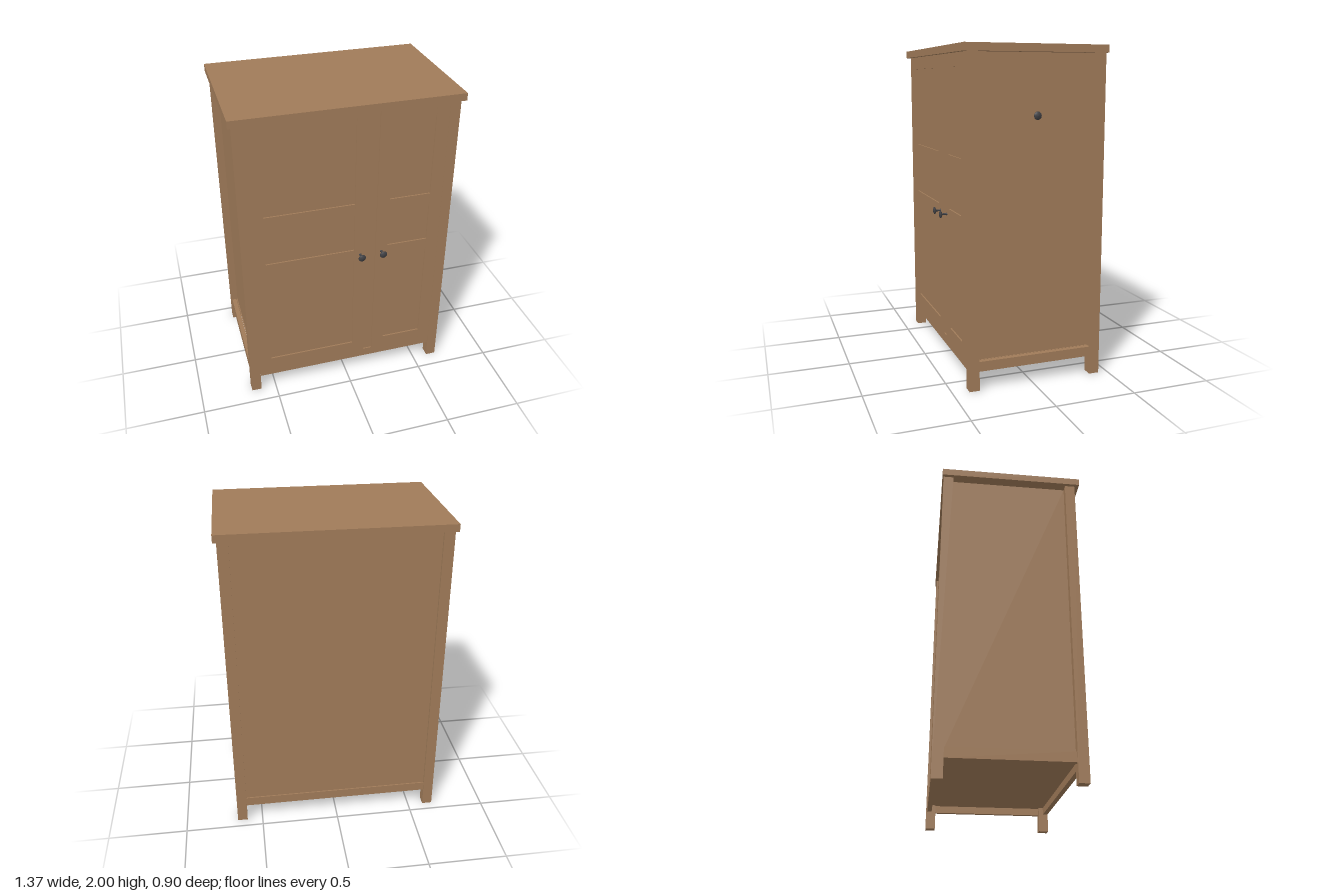
import * as THREE from 'three';

export function createModel() {
  const model = new THREE.Group();
  model.name = 'cabinet';
  const wood = new THREE.MeshStandardMaterial({ name: 'wood', color: 0xa07b59 });
  const darkMetal = new THREE.MeshStandardMaterial({ name: 'darkMetal', color: 0x404044 });

  // Box given by its limits on each axis
  function box(name, [x0, x1], [y0, y1], [z0, z1], parent = model) {
    const mesh = new THREE.Mesh(new THREE.BoxGeometry(x1 - x0, y1 - y0, z1 - z0), wood);
    mesh.position.set((x0 + x1) / 2, (y0 + y1) / 2, (z0 + z1) / 2);
    mesh.name = name;
    parent.add(mesh);
  }

  const top = 1.955, railLow = 0.115, railHigh = 0.175;
  const legIn = 0.6, legOut = 0.664;
  const front = 0.4, back = -0.443, frontIn = 0.338, backIn = -0.38;

  // Overhanging top board and the floor board
  box('topBoard', [-0.685, 0.685], [top, 2], [-0.45, 0.427]);
  box('floorBoard', [-0.625, 0.625], [0.16, railHigh], [-0.425, 0.38]);

  // Legs, side panels and side rails, mirrored
  for (const s of [-1, 1]) {
    const span = (a, b) => (s > 0 ? [a, b] : [-b, -a]);
    box('frontLeg', span(legIn, legOut), [0, top], [frontIn, front]);
    box('backLeg', span(legIn, legOut), [0, top], [back, backIn]);
    box('sidePanel', span(0.6, 0.62), [railHigh, top], [backIn, frontIn]);
    box('sideRail', span(0.628, 0.658), [railLow, railHigh], [backIn, frontIn]);
  }

  // Back panel, lower rails and centre divider
  box('backPanel', [-legIn, legIn], [railHigh, top], [-0.428, -0.41]);
  box('backRail', [-legIn, legIn], [railLow, railHigh], [-0.436, -0.406]);
  box('frontRail', [-0.597, 0.597], [railLow, railHigh], [0.366, 0.397]);
  box('centreDivider', [0.12, 0.18], [railHigh, top], [0.36, 0.39]);

  // Framed door with three recessed panels
  function door(name, x0, x1) {
    const group = new THREE.Group();
    group.name = name;
    const stile = 0.08, face = 0.399;
    box('doorPanel', [x0 + stile, x1 - stile], [railHigh, top], [0.37, 0.389], group);
    box('doorStile', [x0, x0 + stile], [railHigh, top], [0.37, face], group);
    box('doorStile', [x1 - stile, x1], [railHigh, top], [0.37, face], group);
    for (const y of [railHigh, 0.94, 1.275, 1.875]) {
      box('doorRail', [x0 + stile, x1 - stile], [y, y + 0.08], [0.37, face - 0.001], group);
    }
    model.add(group);
  }
  door('wideDoor', -legIn, 0.12);
  door('narrowDoor', 0.18, legIn);

  // Turned knobs: thin stem with a lens-shaped head
  const profile = [[0.009, 0], [0.006, 0.006], [0.006, 0.03], [0.014, 0.034], [0.024, 0.04],
    [0.022, 0.044], [0.012, 0.049], [0, 0.051]].map(([r, h]) => new THREE.Vector2(r, h));
  const knobGeometry = new THREE.LatheGeometry(profile, 24);
  function knob(name, x, y, z) {
    const mesh = new THREE.Mesh(knobGeometry, darkMetal);
    mesh.name = name;
    mesh.position.set(x, y, z);
    model.add(mesh);
    return mesh;
  }
  knob('wideDoorKnob', 0.08, 0.982, 0.399).rotation.x = Math.PI / 2;
  knob('narrowDoorKnob', 0.22, 0.982, 0.399).rotation.x = Math.PI / 2;
  knob('sideKnob', 0.618, 1.6, -0.018).rotation.z = -Math.PI / 2;

  return model;
}
